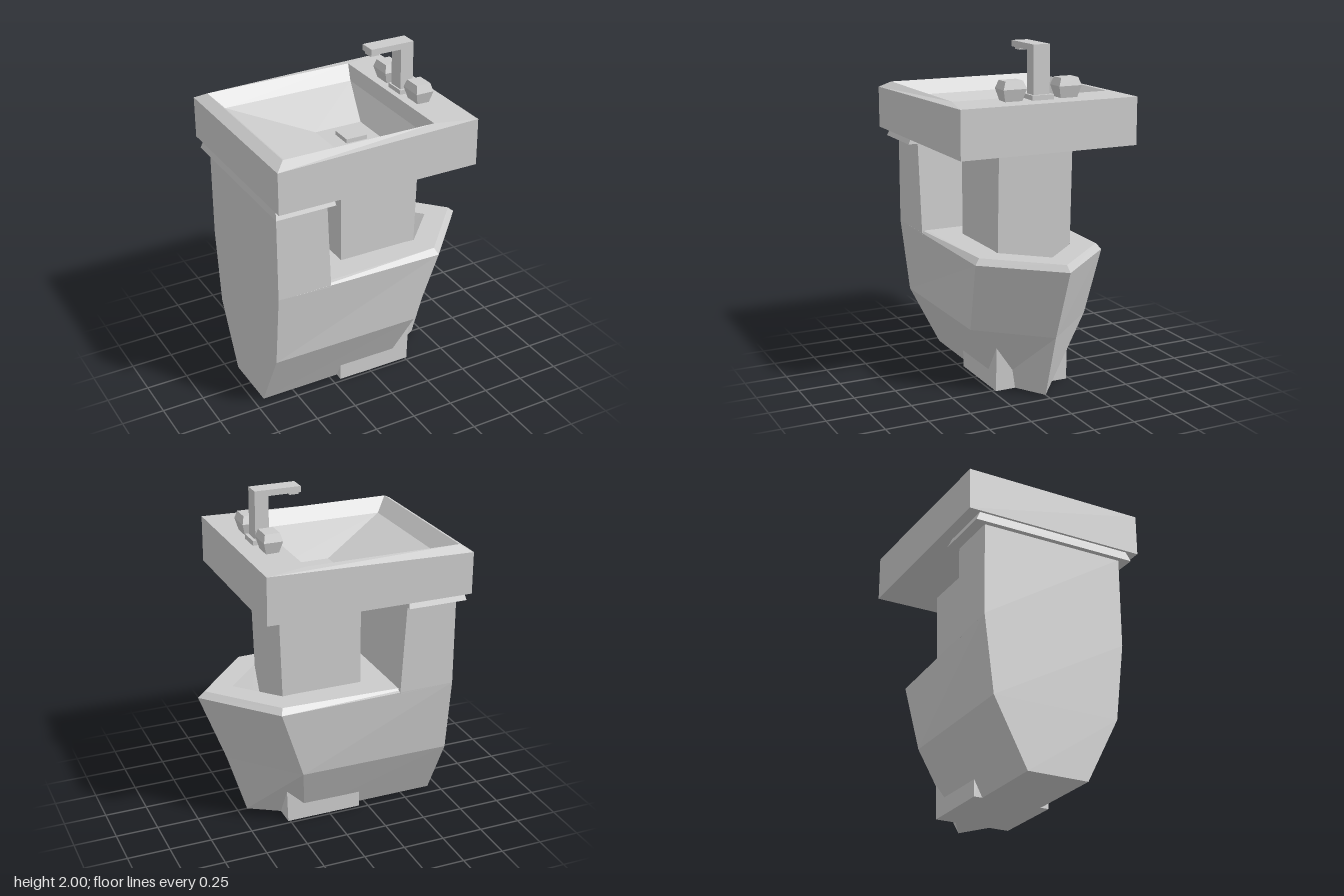
import * as THREE from 'three';

const material = new THREE.MeshStandardMaterial({ color: 0xcccccc, flatShading: true });

// Skins a stack of rings (points counter-clockwise from above) and caps both ends.
function loft(name, rings) {
  const pos = [];
  const tri = (...pts) => pts.forEach((p) => pos.push(...p));
  const n = rings[0].length;
  for (let r = 0; r < rings.length - 1; r++) {
    const lo = rings[r], hi = rings[r + 1];
    for (let i = 0; i < n; i++) {
      const j = (i + 1) % n;
      tri(lo[i], lo[j], hi[j]);
      tri(lo[i], hi[j], hi[i]);
    }
  }
  const first = rings[0], last = rings[rings.length - 1];
  for (let i = 1; i < n - 1; i++) {
    tri(first[0], first[i + 1], first[i]);
    tri(last[0], last[i], last[i + 1]);
  }
  const geo = new THREE.BufferGeometry();
  geo.setAttribute('position', new THREE.Float32BufferAttribute(pos, 3));
  geo.computeVertexNormals();
  const mesh = new THREE.Mesh(geo, material);
  mesh.name = name;
  return mesh;
}

// Four-sided ring, mirrored in z; back and front ends may differ in height and width.
const quad = (xb, xf, zb, zf, yb, yf = yb) => [
  [xf, yf, zf], [xf, yf, -zf], [xb, yb, -zb], [xb, yb, zb],
];

// Five-sided ring with a pointed front.
const pointed = (xb, zb, xs, zs, tip, yb, y = yb) => [
  [tip, y, 0], [xs, y, -zs], [xb, yb, -zb], [xb, yb, zb], [xs, y, zs],
];

function box(name, x0, x1, y0, y1, halfZ) {
  const mesh = new THREE.Mesh(new THREE.BoxGeometry(x1 - x0, y1 - y0, halfZ * 2), material);
  mesh.position.set((x0 + x1) / 2, (y0 + y1) / 2, 0);
  mesh.name = name;
  return mesh;
}

export function createModel() {
  const model = new THREE.Group();
  model.name = 'toiletWithSink';

  // Toilet bowl: outer wall, bevelled rim, then down into the cavity
  model.add(loft('toiletBowl', [
    pointed(-0.69, 0.18, 0.14, 0.18, 0.44, 0),
    pointed(-0.69, 0.375, 0.22, 0.37, 0.56, 0.38),
    pointed(-0.69, 0.43, 0.36, 0.40, 0.72, 0.83, 0.80),
    pointed(-0.68, 0.40, 0.345, 0.37, 0.68, 0.835),
    pointed(-0.15, 0.2, 0.29, 0.235, 0.51, 0.835),
    pointed(-0.12, 0.15, 0.24, 0.16, 0.4, 0.55),
  ]));

  // Water tank and its flared lid
  model.add(loft('tank', [
    quad(-0.69, -0.36, 0.43, 0.42, 0.83, 0.81),
    quad(-0.69, -0.385, 0.43, 0.43, 1.37),
  ]));
  model.add(loft('tankLid', [
    quad(-0.72, -0.365, 0.495, 0.495, 1.365),
    quad(-0.71, -0.37, 0.47, 0.47, 1.42),
  ]));

  // Sink pedestal
  model.add(loft('pedestal', [
    quad(-0.2, 0.262, 0.23, 0.23, 0),
    quad(-0.19, 0.31, 0.23, 0.23, 1.43),
  ]));

  // Sink: outer box, sloping rim, steep lip, shallow basin
  model.add(loft('sinkBasin', [
    quad(-0.725, 0.49, 0.54, 0.54, 1.42),
    quad(-0.725, 0.49, 0.54, 0.54, 1.665, 1.695),
    quad(-0.665, 0.245, 0.48, 0.48, 1.70),
    quad(-0.59, 0.222, 0.41, 0.41, 1.62),
    quad(-0.15, 0.145, 0.15, 0.15, 1.475),
  ]));
  model.add(box('drain', -0.065, 0.065, 1.47, 1.50, 0.065));

  // Faucet
  const faucet = new THREE.Group();
  faucet.name = 'faucet';
  faucet.add(
    box('faucetBase', 0.28, 0.39, 1.69, 1.725, 0.065),
    box('faucetColumn', 0.29, 0.37, 1.72, 1.965, 0.05),
    box('faucetSpout', 0.1, 0.37, 1.965, 2.0, 0.05),
    box('faucetNozzle', 0.105, 0.16, 1.95, 1.965, 0.03),
  );
  model.add(faucet);

  // Tap handles
  for (const side of [1, -1]) {
    const handle = loft(side > 0 ? 'leftHandle' : 'rightHandle', [
      quad(-0.035, 0.035, 0.05, 0.05, 1.69),
      quad(-0.055, 0.055, 0.07, 0.07, 1.765),
      quad(-0.043, 0.043, 0.053, 0.053, 1.81),
    ]);
    handle.position.set(0.335, 0, side * 0.17);
    model.add(handle);
  }

  return model;
}
